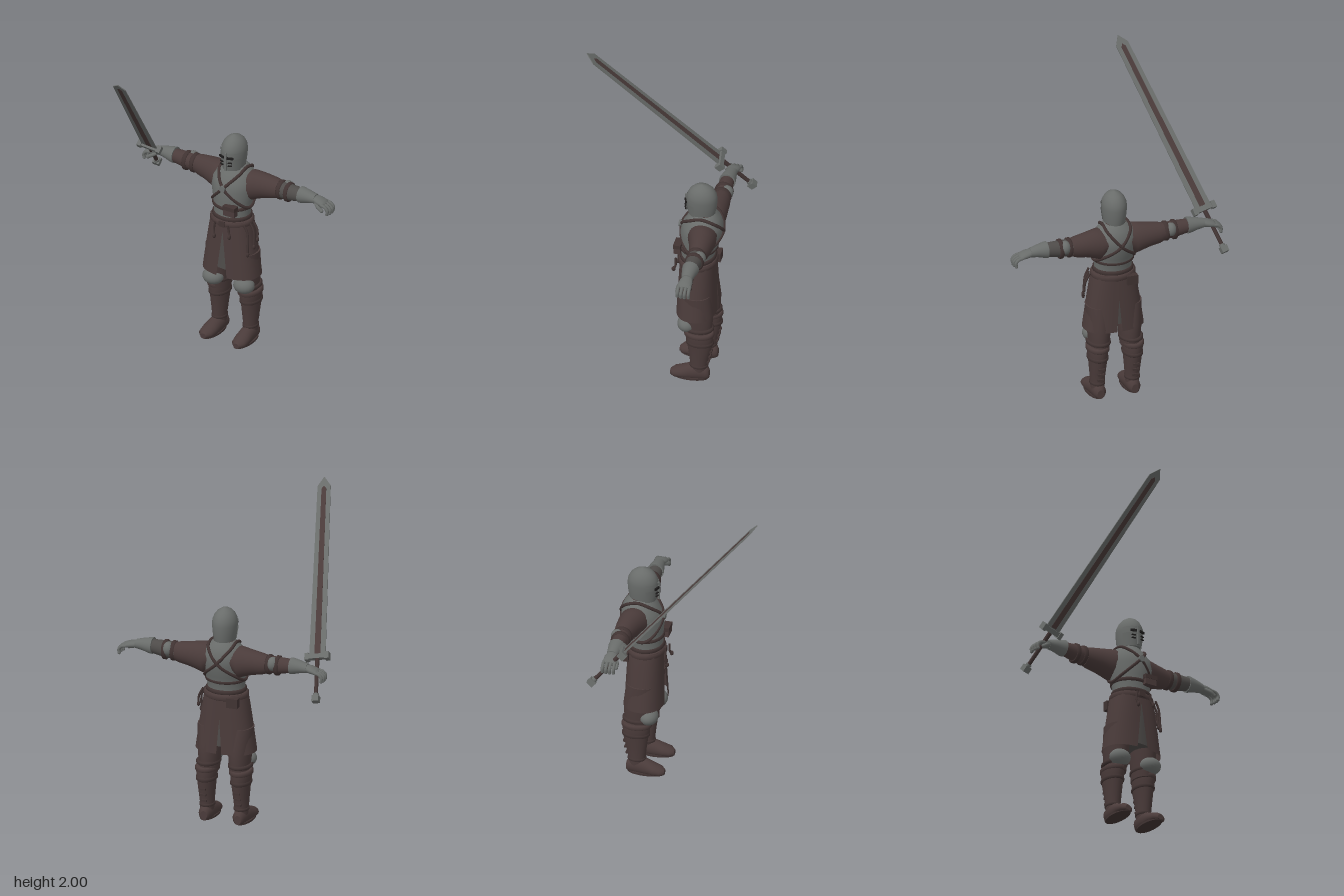
import * as THREE from 'three';

const mat = (name, color) => new THREE.MeshStandardMaterial({ name, color, side: THREE.DoubleSide });
const V = (x, y, z) => new THREE.Vector3(x, y, z);

// Closed skin through elliptical rings [t, a, b, u, v] stacked along one axis
function loft(axis, rings, seg = 24, floor = -1) {
  const rows = [...rings].sort((p, q) => p[0] - q[0]);
  const pos = [], idx = [];
  const put = (t, p, q) => {
    const [x, y, z] = axis === 'x' ? [t, p, q] : axis === 'y' ? [p, t, q] : [p, q, t];
    pos.push(x, Math.max(y, floor), z);
  };
  const ring = ([t, a, b, u, v]) => {
    for (let i = 0; i < seg; i++) {
      const k = (i / seg) * Math.PI * 2, c = Math.cos(k), s = Math.sin(k);
      if (axis === 'y') put(t, u + a * c, v + b * s);
      else put(t, u + a * s, v + b * c);
    }
  };
  rows.forEach(ring);
  for (let j = 0; j < rows.length - 1; j++) for (let i = 0; i < seg; i++) {
    const n = (i + 1) % seg, a = j * seg + i, b = a + seg, c = j * seg + n, d = c + seg;
    idx.push(a, b, c, c, b, d);
  }
  // flat end caps with their own vertices
  [rows[0], rows[rows.length - 1]].forEach((r, end) => {
    const s = pos.length / 3;
    ring(r);
    put(r[0], r[3], r[4]);
    for (let i = 0; i < seg; i++) {
      const n = s + (i + 1) % seg;
      end ? idx.push(s + seg, n, s + i) : idx.push(s + seg, s + i, n);
    }
  });
  const g = new THREE.BufferGeometry();
  g.setAttribute('position', new THREE.Float32BufferAttribute(pos, 3));
  g.setIndex(idx);
  g.computeVertexNormals();
  return g;
}

// Raised band wrapped round a limb or the waist
const band = (axis, t, h, a, b, u, v, e = 0.008) => loft(axis,
  [[t - h, a, b, u, v], [t - h * 0.6, a + e, b + e, u, v], [t + h * 0.6, a + e, b + e, u, v], [t + h, a, b, u, v]]);
const tube = (pts, r, closed = false, n = 24) =>
  new THREE.TubeGeometry(new THREE.CatmullRomCurve3(pts, closed), n, r, 8, closed);
const ball = (r, x, y, z, sx = 1, sy = 1, sz = 1) =>
  new THREE.SphereGeometry(r, 20, 14).scale(sx, sy, sz).translate(x, y, z);
const box = (w, h, d, x, y, z) => new THREE.BoxGeometry(w, h, d).translate(x, y, z);

// Torso rings: y, half width, half depth, centre z
const TORSO = [[0.8, 0.122, 0.104, -0.295], [0.88, 0.117, 0.103, -0.295], [0.96, 0.128, 0.118, -0.307],
  [1.04, 0.143, 0.132, -0.318], [1.1, 0.138, 0.124, -0.326], [1.15, 0.105, 0.096, -0.333], [1.18, 0.065, 0.072, -0.33]];

// Point on the torso at angle k from the front
function onTorso(k, y, out = 0.004) {
  let i = 0;
  while (i < TORSO.length - 2 && y > TORSO[i + 1][0]) i++;
  const p = TORSO[i], q = TORSO[i + 1], f = (y - p[0]) / (q[0] - p[0]);
  const [rx, rz, cz] = [1, 2, 3].map((c) => p[c] + (q[c] - p[c]) * f);
  return V((rx + out) * Math.sin(k), y, cz + (rz + out) * Math.cos(k));
}

// One half of the split skirt, open at the front and the back
function skirtPanel(s) {
  const pos = [], idx = [], R = 12, C = 24;
  for (let j = 0; j <= R; j++) for (let i = 0; i <= C; i++) {
    const f = j / R, y = 0.84 - 0.38 * f;
    const rx = 0.13 + 0.062 * Math.pow(f, 0.85), rz = 0.108 + 0.017 * f;
    const front = 0.13 * Math.max(0, (f - 0.2) / 0.8), back = 0.05 * Math.max(0, (f - 0.45) / 0.55);
    const k = front + (Math.PI - front - back) * (i / C), c = Math.cos(k);
    pos.push(s * rx * Math.pow(Math.max(0, Math.sin(k)), 0.8), y, -0.295 + rz * Math.sign(c) * Math.pow(Math.abs(c), 0.85));
    if (j < R && i < C) {
      const a = j * (C + 1) + i, b = a + 1, d = a + C + 1, e = d + 1;
      s > 0 ? idx.push(a, d, b, b, d, e) : idx.push(a, b, d, b, e, d);
    }
  }
  const g = new THREE.BufferGeometry();
  g.setAttribute('position', new THREE.Float32BufferAttribute(pos, 3));
  g.setIndex(idx);
  g.computeVertexNormals();
  return g;
}

export function createModel() {
  const root = new THREE.Group();
  const steel = mat('steel', 0x696c6a), leather = mat('leather', 0x4a3b3a);
  const strap = mat('darkLeather', 0x403332), mail = mat('chainmail', 0x4e4b49), dark = mat('slitDark', 0x1d1b1b);
  const add = (name, geo, m, parent = root) => {
    const mesh = new THREE.Mesh(geo, m);
    mesh.name = name;
    parent.add(mesh);
    return mesh;
  };

  // Helmet and face plate
  add('helmet', loft('y', [[1.175, 0.064, 0.082], [1.22, 0.071, 0.091], [1.28, 0.077, 0.096], [1.315, 0.074, 0.091],
    [1.345, 0.061, 0.075], [1.365, 0.044, 0.054], [1.379, 0.022, 0.028], [1.385, 0.004, 0.005]]
    .map((r) => [...r, 0, -0.318]), 32), steel);
  add('facePlate', new THREE.CylinderGeometry(0.08, 0.068, 0.085, 24, 1, true, -1.2, 2.4)
    .scale(1, 1, 1.25).translate(0, 1.213, -0.318), steel);
  add('browRidge', new THREE.CylinderGeometry(0.08, 0.08, 0.016, 24, 1, true, -1.2, 2.4)
    .scale(1, 1, 1.25).translate(0, 1.288, -0.318), steel);
  add('noseGuard', box(0.012, 0.12, 0.012, 0, 1.237, -0.218), steel);
  for (const s of [-1, 1]) {
    const side = (geo) => geo.rotateY(s * 0.35).translate(s * 0.03, 0, -0.222);
    add('eyeSlit', side(box(0.04, 0.014, 0.009, 0, 1.266, 0)), dark);
    for (const y of [1.235, 1.215]) add('breathSlot', side(box(0.026, 0.006, 0.009, 0, y, 0.001)), dark);
  }

  // Torso, collar and chest straps
  add('breastplate', loft('y', TORSO.map(([y, a, b, z]) => [y, a, b, 0, z]), 32), steel);
  add('collar', loft('y', [[1.12, 0.1, 0.095, 0, -0.335], [1.155, 0.085, 0.084, 0, -0.333],
    [1.175, 0.066, 0.072, 0, -0.328], [1.21, 0.058, 0.066, 0, -0.322]]), leather);
  for (const s of [-1, 1]) {
    const loop = [[0.75, 1.15], [0, 1.065], [-1, 0.95], [-1.57, 0.925], [-2.3, 0.97], [-Math.PI, 1.06], [-3.9, 1.15], [-4.71, 1.172]];
    add('crossStrap', tube(loop.map(([k, y]) => onTorso(s * k, y)), 0.01, true, 72), strap);
  }
  add('strapRing', new THREE.CylinderGeometry(0.02, 0.02, 0.018, 16).rotateX(Math.PI / 2).translate(0, 1.065, -0.182), steel);
  add('chestBelt', band('y', 0.925, 0.012, 0.122, 0.11, 0, -0.3), strap);
  add('chestPouch', box(0.08, 0.06, 0.04, 0.058, 0.928, -0.182), leather);
  add('chestPouchFlap', box(0.086, 0.026, 0.046, 0.058, 0.95, -0.182), strap);

  // Waist belts, skirt and mail beneath
  add('upperBelt', band('y', 0.855, 0.014, 0.12, 0.105, 0, -0.295), strap);
  add('lowerBelt', band('y', 0.822, 0.02, 0.132, 0.11, 0, -0.295, 0.01), leather);
  add('beltBuckle', box(0.04, 0.036, 0.012, 0, 0.825, -0.174), strap);
  add('mailSkirt', loft('y', [[0.5, 0.15, 0.098, 0, -0.295], [0.65, 0.135, 0.095, 0, -0.295], [0.82, 0.118, 0.095, 0, -0.295]]), mail);
  add('hipPouch', box(0.07, 0.06, 0.04, -0.085, 0.8, -0.4), strap);
  [[0.155, -0.225, 0.64], [0.172, -0.27, 0.68], [0.178, -0.3, 0.72], [-0.05, -0.165, 0.74], [0.06, -0.165, 0.76]].forEach(([x, z, y]) => {
    add('hangingStrap', tube([V(x * 0.85, 0.83, z), V(x, 0.78, z), V(x + 0.008, y, z + 0.01)], 0.007), strap);
    add('strapEnd', ball(0.012, x + 0.008, y, z + 0.01, 0.8, 1.4, 1), strap);
  });

  for (const s of [-1, 1]) {
    const X = (rings) => rings.map(([x, ...r]) => [s * x, ...r]);
    const Y = (cx, rings) => rings.map(([y, a, b, z]) => [y, a, b, s * cx, z]);
    add('skirtPanel', skirtPanel(s), leather);

    // Arm: sleeve, forearm, elbow pad, gauntlet
    add('sleeve', loft('x', X([[0.075, 0.07, 0.09, 1.07, -0.34], [0.115, 0.1, 0.09, 1.055, -0.345], [0.155, 0.089, 0.083, 1.062, -0.353],
      [0.21, 0.077, 0.072, 1.068, -0.36], [0.27, 0.067, 0.062, 1.07, -0.365], [0.3, 0.058, 0.054, 1.072, -0.365]])), leather);
    add('forearm', loft('x', X([[0.28, 0.055, 0.052, 1.072, -0.365], [0.38, 0.052, 0.05, 1.075, -0.362], [0.47, 0.042, 0.042, 1.082, -0.36]])),
      s > 0 ? mail : leather);
    for (const x of [0.315, 0.37]) add('elbowBand', band('x', s * x, 0.014, 0.056, 0.052, 1.073, -0.363, 0.007), strap);
    add('elbowPad', ball(0.04, s * 0.345, 1.088, -0.388, 0.9, 1.1, 1), steel);
    add('gauntletCuff', loft('x', X([[0.455, 0.052, 0.052, 1.083, -0.361], [0.47, 0.051, 0.051, 1.083, -0.361],
      [0.52, 0.038, 0.042, 1.085, -0.362], [0.565, 0.028, 0.034, 1.083, -0.364]])), steel);
    add('hand', loft('x', X([[0.555, 0.025, 0.032, 1.083, -0.364], [0.59, 0.024, 0.042, 1.078, -0.364],
      [0.625, 0.02, 0.042, 1.07, -0.364], [0.638, 0.01, 0.034, 1.066, -0.364]]), 16), steel);
    for (let i = 0; i < 4; i++) {
      const z = -0.398 + i * 0.023, tip = 0.668 + 0.006 * Math.sin(i * 1.05);
      add('finger', tube([V(s * 0.62, 1.07, z), V(s * 0.65, 1.063, z), V(s * tip, 1.043, z), V(s * (tip - 0.002), 1.02, z)], 0.0105, false, 10), steel);
      add('fingerTip', ball(0.0105, s * (tip - 0.002), 1.02, z), steel);
    }
    add('thumb', tube([V(s * 0.575, 1.073, -0.34), V(s * 0.605, 1.055, -0.322), V(s * 0.632, 1.038, -0.32)], 0.012, false, 10), steel);
    add('thumbTip', ball(0.012, s * 0.632, 1.038, -0.32), steel);

    // Leg: thigh, knee pad, boot with cuffs and buckles
    add('thigh', loft('y', Y(0.1, [[0.32, 0.06, 0.082, -0.322], [0.4, 0.066, 0.09, -0.318], [0.48, 0.073, 0.098, -0.315], [0.62, 0.078, 0.095, -0.3]])), leather);
    add('kneePad', ball(0.06, s * 0.112, 0.398, -0.252, 1.15, 0.88, 1), steel);
    add('kneeStrap', band('y', 0.375, 0.012, 0.066, 0.088, s * 0.105, -0.322), strap);
    add('bootShaft', loft('y', Y(0.113, [[0.04, 0.042, 0.05, -0.328], [0.1, 0.043, 0.053, -0.326], [0.17, 0.049, 0.064, -0.329],
      [0.24, 0.055, 0.077, -0.332], [0.29, 0.061, 0.084, -0.33], [0.34, 0.066, 0.089, -0.328], [0.35, 0.06, 0.082, -0.328]])), leather);
    add('bootCuff', band('y', 0.335, 0.016, 0.063, 0.086, s * 0.112, -0.328), leather);
    add('calfStrap', band('y', 0.27, 0.013, 0.057, 0.08, s * 0.113, -0.332, 0.007), strap);
    add('ankleStrap', band('y', 0.095, 0.01, 0.042, 0.052, s * 0.113, -0.326, 0.006), strap);
    [[0.13, -0.386], [0.17, -0.395], [0.21, -0.403]].forEach(([y, z]) => add('bootBuckle', box(0.04, 0.012, 0.014, s * 0.113, y, z), strap));
    add('foot', loft('z', [[-0.39, 0.022, 0.03, 0.112, 0.032], [-0.375, 0.038, 0.048, 0.112, 0.042], [-0.32, 0.045, 0.06, 0.113, 0.045],
      [-0.27, 0.047, 0.056, 0.115, 0.038], [-0.22, 0.051, 0.042, 0.118, 0.03], [-0.175, 0.045, 0.032, 0.12, 0.024], [-0.15, 0.02, 0.018, 0.12, 0.019]]
      .map(([z, a, b, x, y]) => [z, a, b, s * x, y]), 24, 0.004), leather);
    add('sole', new THREE.CylinderGeometry(1, 1, 0.012, 24).scale(0.05, 1, 0.117).translate(s * 0.116, 0.006, -0.269), strap);
  }

  // Sword raised forward from the right hand; local y runs along the blade
  const sword = new THREE.Group();
  sword.name = 'sword';
  const guard = V(-0.597, 1.135, -0.285), tip = V(-0.325, 2, 0.49);
  const d = tip.clone().sub(guard), len = d.length();
  d.normalize();
  const w = V(1, 0, 0).addScaledVector(d, -d.x).normalize();
  sword.setRotationFromMatrix(new THREE.Matrix4().makeBasis(w, d, w.clone().cross(d)));
  sword.position.copy(guard);
  root.add(sword);
  const plate = (half, top, y0, shoulder, depth) => new THREE.ExtrudeGeometry(new THREE.Shape([[-half, y0], [half, y0],
    [half * 0.8, top - shoulder], [0, top], [-half * 0.8, top - shoulder]].map(([x, y]) => new THREE.Vector2(x, y))),
    { depth, bevelEnabled: false }).translate(0, 0, -depth / 2);
  add('blade', plate(0.052, len, 0, 0.06, 0.006), steel, sword);
  add('bladeInlay', plate(0.019, len - 0.06, 0.02, 0.02, 0.009), leather, sword);
  add('crossGuard', box(0.13, 0.03, 0.034, 0, 0, 0), steel, sword);
  for (const s of [-1, 1]) add('guardEnd', box(0.026, 0.044, 0.046, s * 0.064, 0, 0), steel, sword);
  add('grip', new THREE.CylinderGeometry(0.014, 0.012, 0.27, 12).translate(0, -0.135, 0), strap, sword);
  add('pommel', box(0.044, 0.04, 0.044, 0, -0.28, 0), steel, sword);
  add('pommelCollar', new THREE.CylinderGeometry(0.018, 0.018, 0.016, 12).translate(0, -0.253, 0), steel, sword);
  return root;
}
